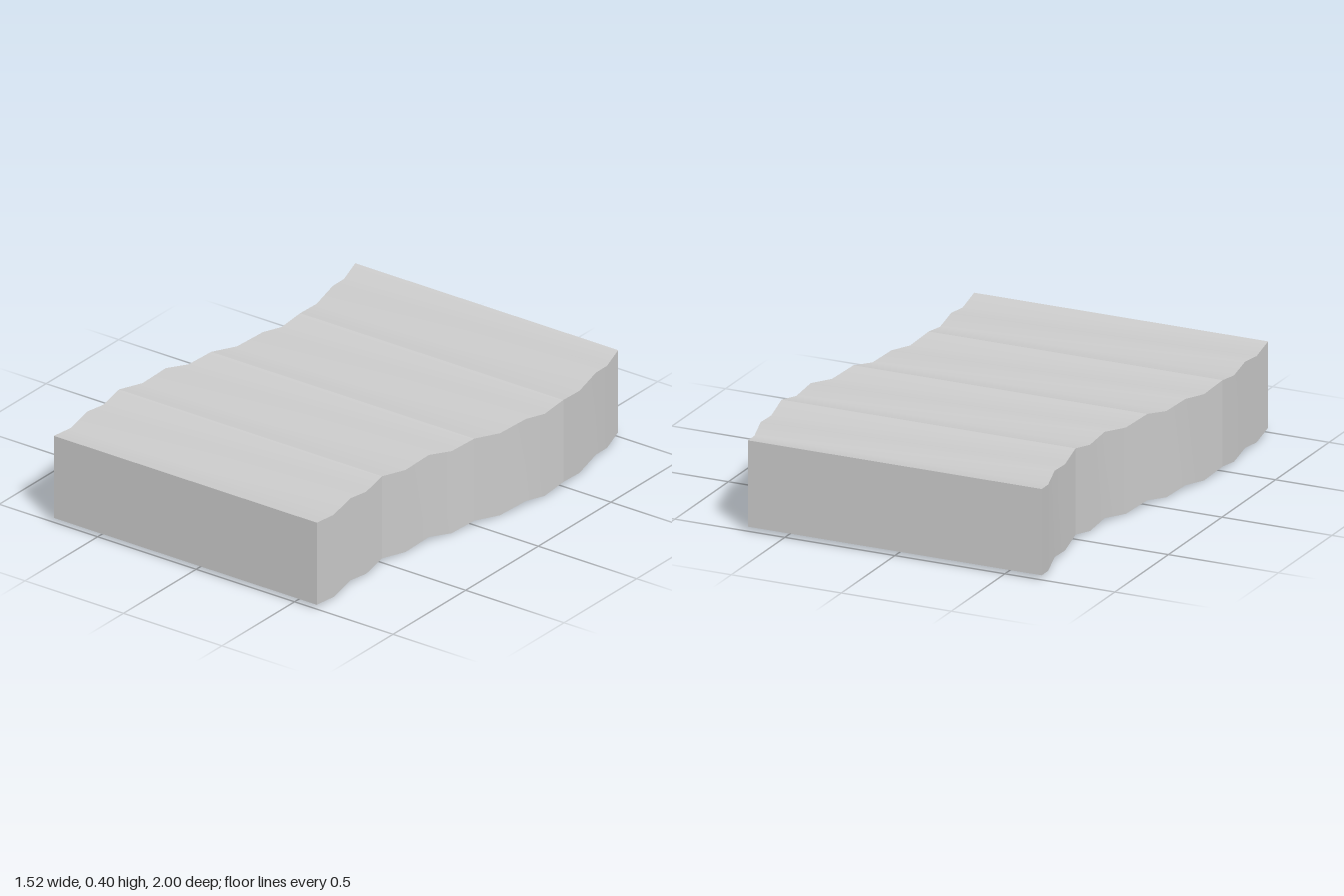
import * as THREE from 'three';

// Centre line from front to back: [z, sideways shift], one entry per ridge
const RIDGES = [
  [1, -0.055], [0.74, -0.077], [0.5, -0.092], [0.23, -0.054], [0, 0.007],
  [-0.27, 0.07], [-0.5, 0.09], [-0.78, 0.049], [-1, 0],
];
const HALF_WIDTH = 0.668, BOTTOM = 0.025, TOP = 0.4, DIP = 0.02;

// Four corners of a cross-section: top left, top right, bottom right, bottom left
function crossSection(z, shift, dip) {
  const l = shift - HALF_WIDTH, r = shift + HALF_WIDTH;
  const t = TOP - dip, b = BOTTOM - dip;
  return [[l, t, z], [r, t, z], [r, b, z], [l, b, z]];
}

// Surface between two lines of points, smooth along its length
function strip(pairs) {
  const index = [];
  for (let i = 0; i < pairs.length - 1; i++) {
    const a = 2 * i;
    index.push(a, a + 1, a + 3, a, a + 3, a + 2);
  }
  const geometry = new THREE.BufferGeometry();
  geometry.setAttribute('position', new THREE.Float32BufferAttribute(pairs.flat(2), 3));
  geometry.setIndex(index);
  geometry.computeVertexNormals();
  return geometry;
}

export function createModel() {
  const group = new THREE.Group();
  group.name = 'wavySlab';
  const material = new THREE.MeshStandardMaterial({ color: 0xcccccc });
  const add = (name, pairs) => {
    const mesh = new THREE.Mesh(strip(pairs), material);
    mesh.name = name;
    group.add(mesh);
  };

  // Cross-sections at every ridge, with a shallow dip halfway to the next
  const rows = [];
  RIDGES.forEach(([z, shift], i) => {
    rows.push(crossSection(z, shift, 0));
    const next = RIDGES[i + 1];
    if (next) rows.push(crossSection((z + next[0]) / 2, (shift + next[1]) / 2, DIP));
  });

  // Four sections, creased where they meet
  const faces = ['topSurface', 'rightEdge', 'underside', 'leftEdge'];
  for (let s = 0; s < 4; s++) {
    const part = rows.slice(s * 4, s * 4 + 5);
    faces.forEach((name, f) => add(name + (s + 1), part.map((row) => [row[f], row[(f + 1) % 4]])));
  }

  // Flat ends
  const [tl, tr, br, bl] = rows[0];
  add('frontEnd', [[bl, br], [tl, tr]]);
  const [TL, TR, BR, BL] = rows[rows.length - 1];
  add('backEnd', [[BR, BL], [TR, TL]]);
  return group;
}
